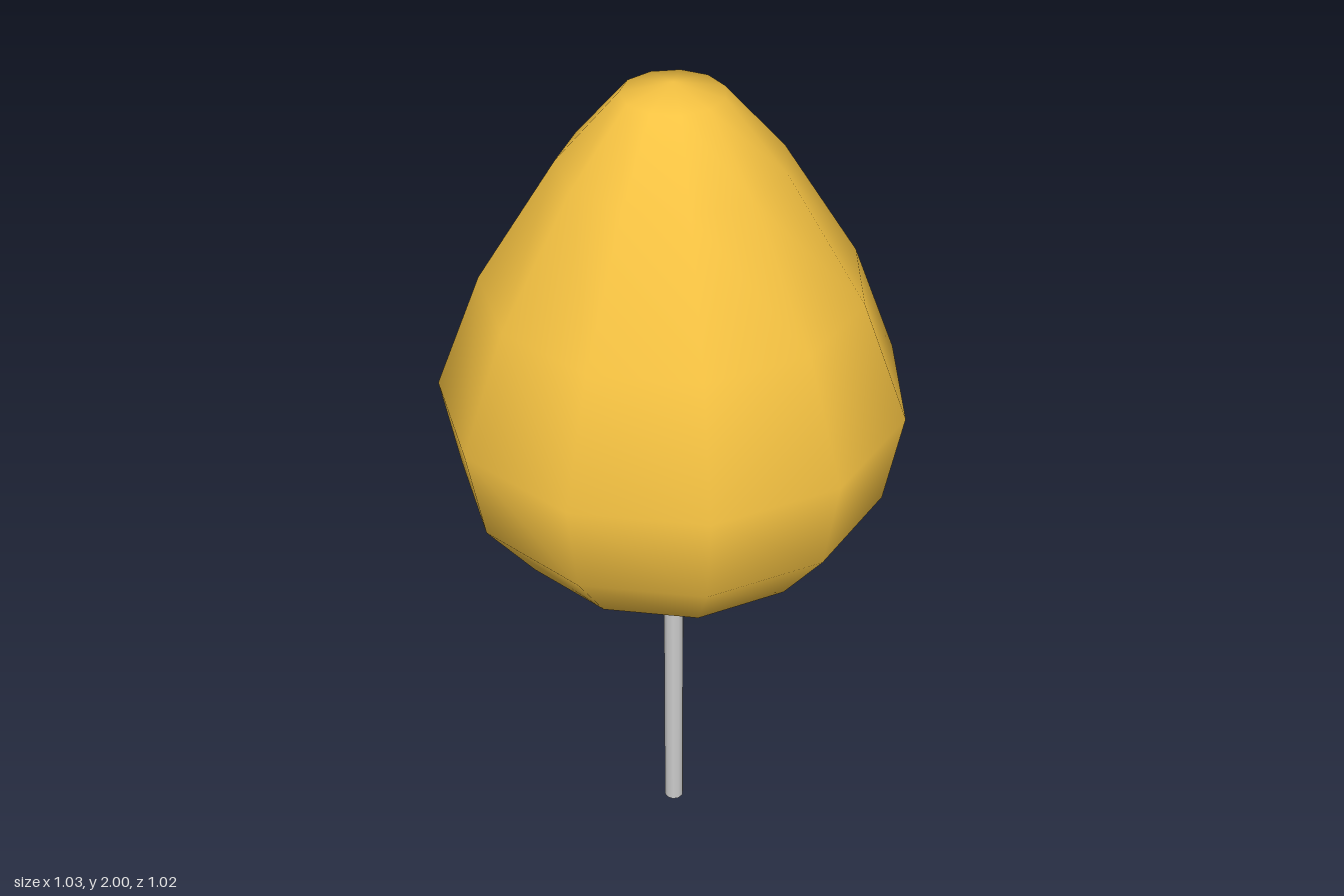
import * as THREE from 'three';
import { mergeVertices } from 'three/addons/utils/BufferGeometryUtils.js';

const SIDES = 11;
const CENTRE_Z = 0.008;

// Crown rings from the tip to the underside: [radius, height]
const RINGS = [
  [0, 2], [0.108, 1.978], [0.24, 1.83], [0.413, 1.557], [0.518, 1.29],
  [0.481, 1.073], [0.369, 0.92], [0.206, 0.872], [0, 0.863],
];

// A sphere whose latitude rings are moved onto the drop profile
function dropGeometry() {
  const sphere = new THREE.SphereGeometry(1, SIDES, RINGS.length - 1);
  sphere.rotateY(-Math.PI / 2); // one corner points straight back
  const pos = sphere.attributes.position;
  for (let i = 0; i < pos.count; i++) {
    const [radius, y] = RINGS[Math.floor(i / (SIDES + 1))];
    const length = Math.hypot(pos.getX(i), pos.getZ(i)) || 1;
    const scale = radius / length;
    pos.setXYZ(i, pos.getX(i) * scale, y, pos.getZ(i) * scale);
  }
  // Weld the seam and poles so the shading stays smooth
  sphere.deleteAttribute('uv');
  sphere.deleteAttribute('normal');
  const drop = mergeVertices(sphere, 1e-4);
  drop.computeVertexNormals();
  return drop;
}

export function createModel() {
  const model = new THREE.Group();
  model.name = 'tree';

  // Smooth drop-shaped foliage
  const crown = new THREE.Mesh(
    dropGeometry(),
    new THREE.MeshStandardMaterial({ color: 0xf5c242 })
  );
  crown.name = 'crown';
  crown.position.z = CENTRE_Z;
  model.add(crown);

  // Thin straight trunk, ending just inside the crown
  const height = 0.9;
  const trunk = new THREE.Mesh(
    new THREE.CylinderGeometry(0.024, 0.024, height, 10),
    new THREE.MeshStandardMaterial({ color: 0xcccccc })
  );
  trunk.name = 'trunk';
  trunk.position.set(0, height / 2, CENTRE_Z);
  model.add(trunk);

  return model;
}
